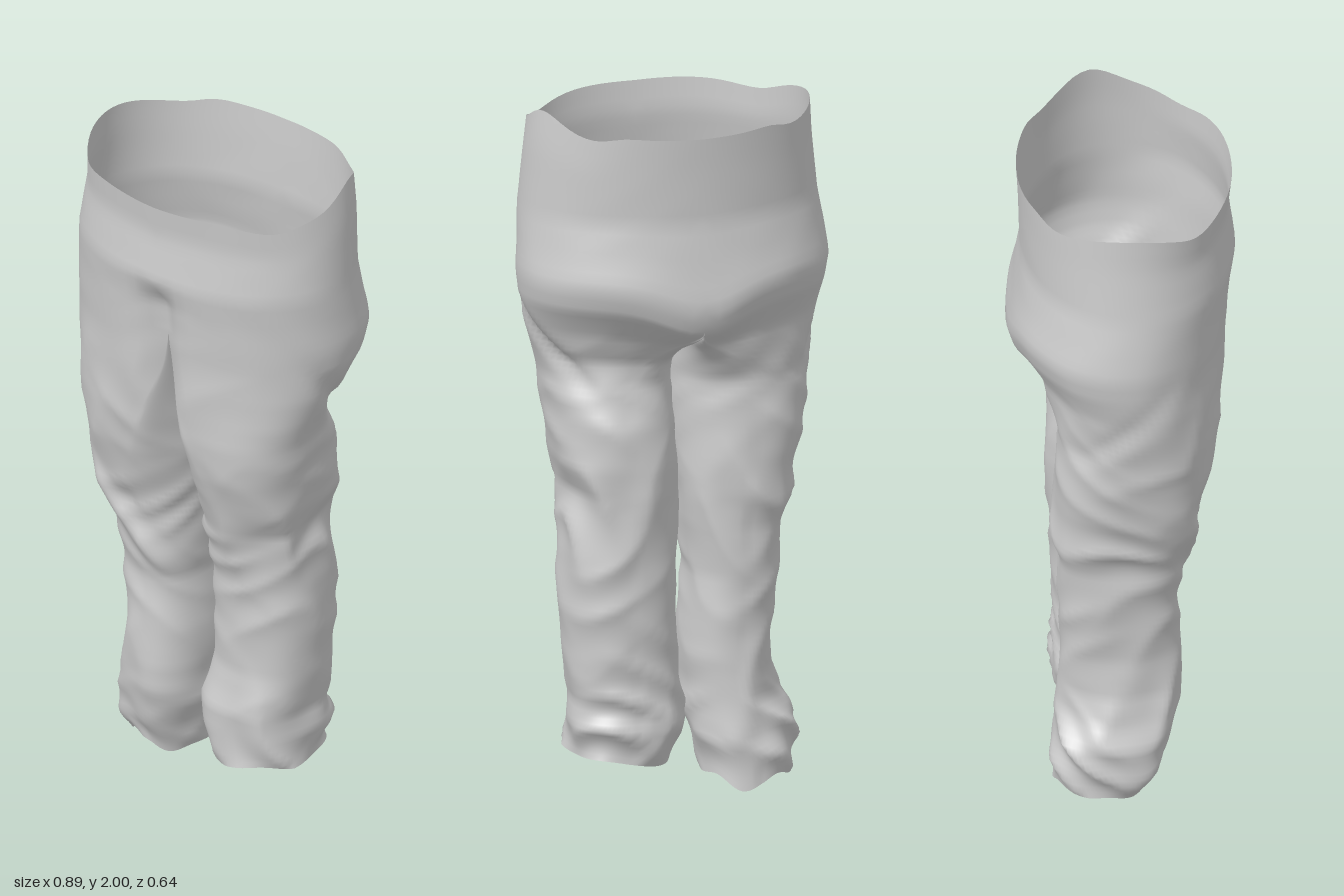
import * as THREE from 'three';
import { mergeVertices } from 'three/addons/utils/BufferGeometryUtils.js';

const COLS = 80, SEAT_ROWS = 18, LEG_ROWS = 80, CROTCH = 1.46;

// Section keys, top to bottom: [y, inner x, outer x, back z, front z]
const LEFT = [
  [1.94, 0, 0.405, -0.29, 0.31], [1.85, 0, 0.418, -0.285, 0.3], [1.7, 0, 0.43, -0.28, 0.318],
  [1.6, 0, 0.437, -0.3, 0.305], [1.52, 0, 0.445, -0.322, 0.3], [1.45, 0, 0.437, -0.3, 0.295],
  [1.36, 0, 0.41, -0.215, 0.29], [1.27, 0, 0.38, -0.155, 0.285], [1.2, 0, 0.36, -0.155, 0.28],
  [1.08, 0, 0.348, -0.19, 0.255], [0.96, -0.005, 0.338, -0.2, 0.215], [0.88, 0, 0.31, -0.2, 0.19],
  [0.8, 0, 0.318, -0.195, 0.17], [0.7, 0.005, 0.328, -0.192, 0.145], [0.55, 0.005, 0.33, -0.188, 0.133],
  [0.4, 0, 0.318, -0.18, 0.128], [0.33, -0.01, 0.308, -0.18, 0.14], [0.27, -0.02, 0.3, -0.18, 0.155],
  [0.2, -0.03, 0.312, -0.19, 0.15], [0.1, 0.02, 0.3, -0.17, 0.14],
];
const RIGHT = [
  [1.94, 0, 0.4, -0.29, 0.31], [1.85, 0, 0.405, -0.285, 0.3], [1.7, 0, 0.425, -0.28, 0.318],
  [1.6, 0, 0.44, -0.3, 0.305], [1.52, 0, 0.45, -0.322, 0.3], [1.45, 0, 0.443, -0.3, 0.295],
  [1.36, 0, 0.43, -0.235, 0.288], [1.2, 0, 0.405, -0.185, 0.272], [1.08, 0, 0.388, -0.195, 0.25],
  [0.96, 0.01, 0.362, -0.2, 0.215], [0.86, 0.02, 0.335, -0.2, 0.185], [0.76, 0.025, 0.312, -0.19, 0.165],
  [0.62, 0.045, 0.297, -0.185, 0.15], [0.45, 0.03, 0.277, -0.18, 0.16], [0.33, 0.03, 0.28, -0.18, 0.165],
  [0.25, 0.035, 0.3, -0.185, 0.16], [0.19, 0.04, 0.345, -0.2, 0.14], [0.1, 0.06, 0.34, -0.205, 0.115],
  [0.03, 0.08, 0.315, -0.205, 0.08],
];
// Fold depth by height
const FOLDS = [[1.94, 0], [1.5, 0.001], [1.3, 0.004], [0.98, 0.006], [0.84, 0.018], [0.72, 0.008],
  [0.5, 0.005], [0.37, 0.007], [0.28, 0.016], [0.12, 0.016], [0, 0.008]];

// Linear lookup in a table whose first column falls
function sample(keys, y) {
  if (y >= keys[0][0]) return keys[0].slice(1);
  for (let i = 1; i < keys.length; i++) {
    if (y >= keys[i][0]) {
      const t = (keys[i - 1][0] - y) / (keys[i - 1][0] - keys[i][0]);
      return keys[i].slice(1).map((v, k) => THREE.MathUtils.lerp(keys[i - 1][k + 1], v, t));
    }
  }
  return keys[keys.length - 1].slice(1);
}

const bump = (v, centre, width) => Math.exp(-(((v - centre) / width) ** 2));
const power = (v, p) => Math.sign(v) * Math.abs(v) ** p;

// Cloth folds: crossing diagonal ridges that fade in and out around the leg
function folds(x, y, z) {
  const ridge = 1 - 2 * Math.abs(Math.sin(19 * y - 13 * x + 1.8 * Math.sin(10 * z + 6 * y)));
  const cross = 1 - 2 * Math.abs(Math.sin(14 * y + 15 * x - 9 * z + 1.2 * Math.sin(11 * y)));
  const fade = 0.5 + 0.5 * Math.sin(11 * x + 13 * z + 7 * y);
  return 0.8 * ridge * fade + 0.8 * cross * (1 - fade);
}

// Point on one side's surface; angle a runs front, outside, back, inside
function point(side, y, a) {
  const [inner, outer, back, front] = sample(side > 0 ? LEFT : RIGHT, y);
  const s = Math.sin(a), c = Math.cos(a);
  const inside = a > Math.PI + 1e-6 && a < 2 * Math.PI - 1e-6;
  // 1 where the halves are still joined, 0 on the free leg; the front stays closed for longer
  const joined = THREE.MathUtils.smoothstep(y, 1.03 - 0.12 * c, CROTCH);
  const p = THREE.MathUtils.lerp(0.85, 0.97, joined);
  const round = (inner + outer) / 2 + (outer - inner) / 2 * power(s, p);
  const half = inner + (outer - inner) * Math.max(0, power(s, p));
  let x = THREE.MathUtils.lerp(round, half, joined);
  let z = (front + back) / 2 + (front - back) / 2 * power(c, p);

  const amount = sample(FOLDS, y)[0] * (inside ? 0.6 * (1 - joined) : 1);
  const f = folds(side * x, y, z) * amount;
  x += s * f;
  z += c * f;

  // Pinch at the fly running into a valley between the thighs
  if (c > 0) {
    const valley = THREE.MathUtils.smoothstep(1.6 - y, -0.1, 0.06) * THREE.MathUtils.smoothstep(y, 0.9, 1.3);
    z -= 0.05 * bump(x, 0, 0.045) * valley * c;
  }
  // Seat overhang, sharpest as a diagonal crease around the left thigh
  const crease = bump(y, 1.33 + 1.1 * z, 0.04) * bump(z, -0.05, 0.14) * Math.max(0, s);
  x -= (side > 0 ? 0.03 : 0.012) * crease;
  // Knee fold hanging over the right shin
  if (side < 0) z += 0.03 * Math.max(0, c) * bump(y, 0.66 + 1.1 * (x - 0.08), 0.05);

  // Wavy waist edge, tilted and sagging crotch seam, uneven hems
  const waist = THREE.MathUtils.smoothstep(y, 1.72, 1.94);
  const peak = side > 0 ? 0.055 * bump(z, -0.08, 0.1) * Math.max(0, s) ** 2 : 0.015 * Math.max(0, s) ** 6;
  let py = y + waist * (peak + 0.01 * Math.sin(4 * a + 1) * s - 0.02 * bump(z, 0.2, 0.06) * s + 0.015 * bump(z, -0.25, 0.03));
  py += 0.25 * z * bump(y, CROTCH, 0.17) * bump(x, 0, 0.15);
  if (inside) py += 0.05 * joined * s;
  const hem = 1 - THREE.MathUtils.smoothstep(y, 0.03, 0.3);
  py += hem * (side > 0 ? 0.018 * s + 0.008 * Math.sin(3 * a) : 0.016 * Math.sin(3 * a + 0.6) + 0.008 * Math.sin(5 * a));
  return [side * (Math.abs(x) < 1e-6 ? 0 : x), Math.max(0, py), z];
}

export function createModel() {
  const positions = [], seat = [], legs = { '1': [], '-1': [] };
  for (const side of [1, -1]) {
    const base = positions.length / 3;
    const hem = side > 0 ? 0.1 : 0.026;
    const rows = SEAT_ROWS + LEG_ROWS;
    for (let r = 0; r <= rows; r++) {
      const y = r <= SEAT_ROWS
        ? THREE.MathUtils.lerp(1.94, CROTCH, r / SEAT_ROWS)
        : THREE.MathUtils.lerp(CROTCH, hem, (r - SEAT_ROWS) / LEG_ROWS);
      for (let k = 0; k < COLS; k++) positions.push(...point(side, y, k / COLS * 2 * Math.PI));
    }
    for (let r = 0; r < rows; r++) {
      const isSeat = r < SEAT_ROWS;
      const target = isSeat ? seat : legs[side];
      // The seat only has the outer half; each leg closes all the way round
      for (let k = 0; k < (isSeat ? COLS / 2 : COLS); k++) {
        const a = base + r * COLS + k, b = base + r * COLS + (k + 1) % COLS;
        const c = a + COLS, d = b + COLS;
        if (side > 0) target.push(a, c, b, b, c, d);
        else target.push(a, b, c, b, d, c);
      }
    }
  }

  // Weld the halves so normals run smoothly over the seams
  let cloth = new THREE.BufferGeometry();
  cloth.setAttribute('position', new THREE.Float32BufferAttribute(positions, 3));
  cloth.setIndex([...seat, ...legs[1], ...legs[-1]]);
  cloth = mergeVertices(cloth, 1e-4);
  cloth.computeVertexNormals();

  // Share the welded surface between the named parts
  const material = new THREE.MeshStandardMaterial({ color: 0xcccccc, side: THREE.DoubleSide });
  const group = new THREE.Group();
  group.name = 'trousers';
  const index = Array.from(cloth.index.array);
  let start = 0;
  for (const [name, count] of [['seat', seat.length], ['leftLeg', legs[1].length], ['rightLeg', legs[-1].length]]) {
    const part = new THREE.BufferGeometry();
    part.setAttribute('position', cloth.attributes.position);
    part.setAttribute('normal', cloth.attributes.normal);
    part.setIndex(index.slice(start, start + count));
    start += count;
    const mesh = new THREE.Mesh(part, material);
    mesh.name = name;
    group.add(mesh);
  }
  return group;
}
